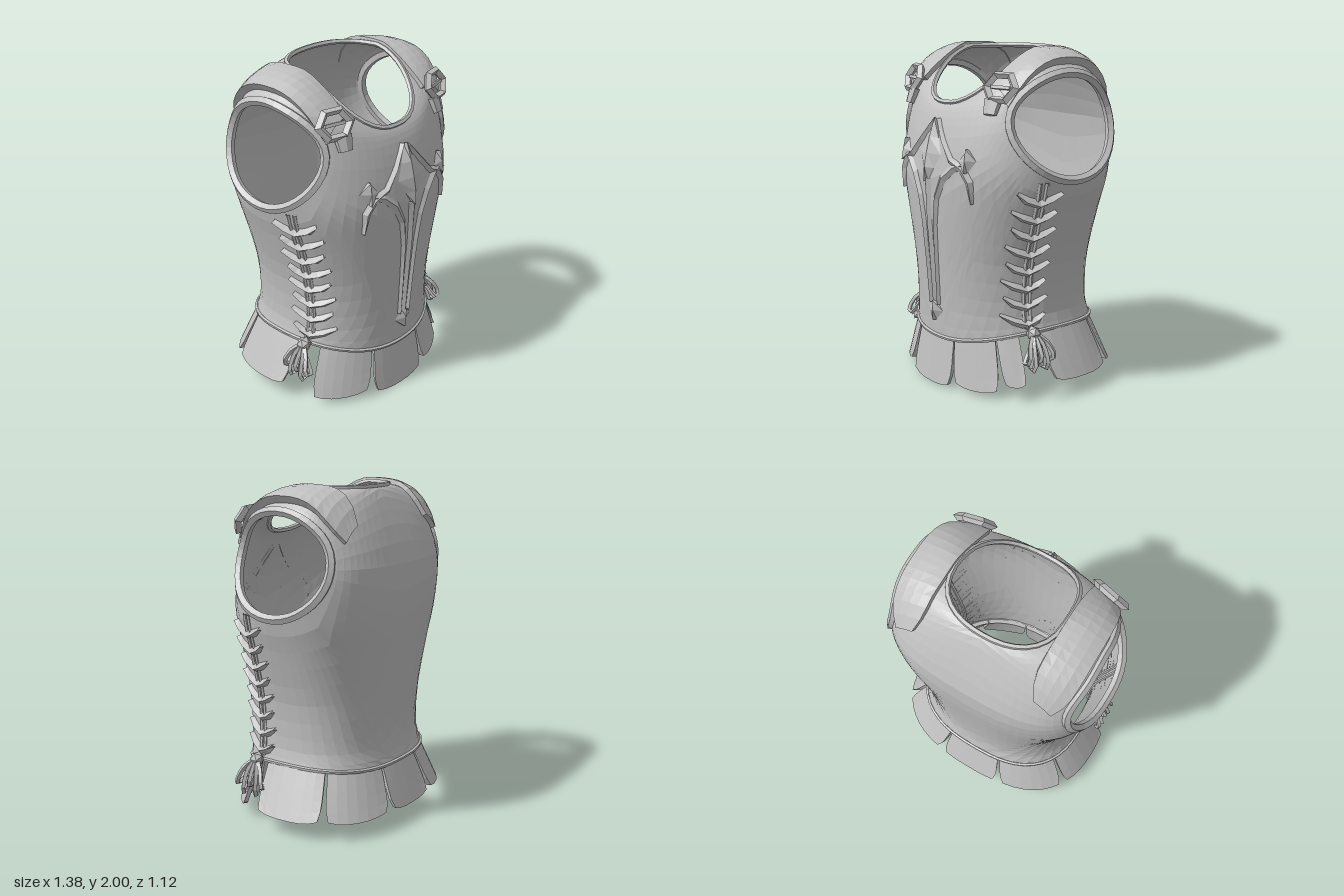
import * as THREE from 'three';
import { mergeGeometries } from 'three/addons/utils/BufferGeometryUtils.js';

const V = (x, y, z) => new THREE.Vector3(x, y, z);
const { lerp, clamp } = THREE.MathUtils;

// Torso cross-sections, waist to neck:
// halfWidth, zFront, zBack, yFront, ySide, yBack, front squareness, back squareness, front dip power
const RINGS = [
  [.54, .498, -.46, .29, .385, .36, 2.2, 2.6, 2], [.515, .502, -.43, .5, .5, .5, 2.2, 2.6, 2],
  [.525, .518, -.44, .75, .75, .75, 2.2, 2.6, 2], [.59, .537, -.465, 1.02, 1.02, 1.02, 2.2, 2.7, 2],
  [.66, .544, -.49, 1.27, 1.27, 1.27, 2.2, 2.8, 2], [.655, .507, -.49, 1.46, 1.52, 1.52, 2.2, 3.1, 2],
  [.615, .472, -.43, 1.57, 1.74, 1.7, 2.2, 3.2, 2], [.565, .445, -.365, 1.63, 1.875, 1.84, 2.2, 2.9, 2],
  [.45, .425, -.31, 1.66, 1.945, 1.94, 2.3, 2.5, 1.6], [.33, .412, -.272, 1.675, 1.97, 1.975, 2.5, 2.3, 1.2]];
const TOP = RINGS.length - 1;

// Point on one superellipse ring; angle 0 is the front, PI the back
function ringPoint([w, zf, zb, yf, ys, yb, nf, nb, dip], a) {
  const s = Math.sin(a), c = Math.cos(a), k = Math.abs(c), e = 2 / (c > 0 ? nf : nb);
  const y = c > 0 ? ys + (yf - ys) * k ** dip : ys + (yb - ys) * k * k;
  return V(Math.sign(s) * w * Math.abs(s) ** e, y, (c > 0 ? zf : zb) * k ** e);
}
// Smooth torso surface through the rings
function torso(a, t) {
  t = clamp(t, 0, TOP);
  const i = Math.min(Math.floor(t), TOP - 1), f = t - i;
  const k = j => RINGS[clamp(j, 0, TOP)];
  const ring = k(i).map((p1, n) => {
    const p0 = k(i - 1)[n], p2 = k(i + 1)[n], p3 = k(i + 2)[n];
    return p1 + .5 * f * (p2 - p0 + f * (2 * p0 - 5 * p1 + 4 * p2 - p3 + f * (3 * (p1 - p2) + p3 - p0)));
  });
  return ringPoint(ring, a);
}
function normalAt(a, t) {
  const e = .03, p = torso(a, t);
  const n = torso(a + e, t).sub(torso(a - e, t)).cross(torso(a, t + e).sub(torso(a, t - e))).normalize();
  return n.dot(V(p.x, p.y - 1.2, p.z)) < 0 ? n.negate() : n;
}
// Finds the surface angle and height that match two given coordinates
const RANGE = { xy: [0, 1.5, 0, TOP], zy: [.2, 2.9, 0, TOP], xz: [0, Math.PI, 4.5, TOP] };
function locate(mode, u, v) {
  const [a0, a1, t0, t1] = RANGE[mode];
  let best = [a0, t0, Infinity];
  const tryAt = (a, t) => {
    a = clamp(a, a0, a1); t = clamp(t, t0, t1);
    const p = torso(a, t), d = (p[mode[0]] - u) ** 2 + (p[mode[1]] - v) ** 2;
    if (d < best[2]) best = [a, t, d];
  };
  for (let i = 0; i <= 20; i++) for (let j = 0; j <= 24; j++) tryAt(lerp(a0, a1, i / 20), lerp(t0, t1, j / 24));
  for (let s = .1; s > .0008; s *= .75) {
    const [a, t] = best;
    for (let i = -1; i <= 1; i++) for (let j = -1; j <= 1; j++) tryAt(a + i * s, t + j * s * 2);
  }
  return best;
}
// Point lying d above the torso
function on(mode, u, v, d = 0) {
  const flip = mode[0] === 'x' && u < 0;
  const [a, t] = locate(mode, flip ? -u : u, v);
  const p = torso(a, t).addScaledVector(normalAt(a, t), d);
  if (flip) p.x *= -1;
  return p;
}

// Grid surface from fn(u, v), both 0..1
function grid(nu, nv, fn) {
  const pos = [], idx = [];
  for (let j = 0; j <= nv; j++) for (let i = 0; i <= nu; i++) pos.push(...fn(i / nu, j / nv).toArray());
  for (let j = 0; j < nv; j++) for (let i = 0; i < nu; i++) {
    const a = j * (nu + 1) + i, b = a + nu + 1;
    idx.push(a, a + 1, b + 1, a, b + 1, b);
  }
  const g = new THREE.BufferGeometry();
  g.setAttribute('position', new THREE.Float32BufferAttribute(pos, 3));
  g.setIndex(idx);
  g.computeVertexNormals();
  return g;
}
// Closed plate: fn(u, v, w), w = 0 inside and 1 outside
const slab = (nu, nv, fn) => mergeGeometries([
  ...[0, 1].map(w => grid(nu, nv, (u, v) => fn(u, v, w))),
  ...[0, 1].map(u => grid(1, nv, (w, v) => fn(u, v, w))),
  ...[0, 1].map(v => grid(nu, 1, (u, w) => fn(u, v, w)))]);
// Ridged strip laid on the torso along [a, b, halfWidth] stations
function ridge(mode, path, h) {
  const n = path.length - 1;
  return grid(2, n, (u, v) => {
    const i = Math.round(v * n), [a, b, w] = path[i];
    const p = path[Math.max(i - 1, 0)], q = path[Math.min(i + 1, n)];
    const dx = q[0] - p[0], dy = q[1] - p[1], l = Math.hypot(dx, dy), k = (u * 2 - 1) * w / l;
    return on(mode, a - dy * k, b + dx * k, u === .5 ? h : 0);
  });
}
const tube = (pts, r, closed = false, n = 40, sides = 5) =>
  new THREE.TubeGeometry(new THREE.CatmullRomCurve3(pts, closed), n, r, sides, closed);

export function createModel() {
  const model = new THREE.Group();
  model.name = 'breastplateArmour';
  const steel = new THREE.MeshStandardMaterial({ color: 0xc0c0c0, flatShading: true, side: THREE.DoubleSide });
  steel.name = 'grey';
  const add = (name, geo, parent = model) => {
    const m = new THREE.Mesh(geo, steel);
    m.name = name;
    parent.add(m);
    return m;
  };
  const both = (name, geo) => [1, -1].forEach(s => { add((s > 0 ? 'left' : 'right') + name, geo).scale.x = s; });

  // Torso halves, spun out from the arm hole to the centre line, neck and waist
  const hole = f => [-.005 + .34 * Math.cos(f), 1.565 + .295 * Math.sin(f)];
  const edge = [], H = Math.PI / 2;
  for (let i = 0; i < 16; i++) edge.push([Math.PI * i / 16, 0]);
  for (let i = 0; i < 14; i++) edge.push([Math.PI, TOP * i / 14]);
  for (let i = 0; i < 16; i++) edge.push([Math.PI * (1 - i / 16), TOP]);
  for (let i = 0; i < 14; i++) edge.push([0, TOP * (1 - i / 14)]);
  const rim = edge.map(([a, t]) => {
    const dt = t - 5.2;
    return locate('zy', ...hole(Math.atan2(dt / (dt > 0 ? TOP - 5.2 : 5.2), (H - a) / H)));
  });
  both('TorsoHalf', grid(edge.length, 10, (u, v) => {
    const i = Math.round(u * edge.length) % edge.length;
    return torso(lerp(rim[i][0], edge[i][0], v), lerp(rim[i][1], edge[i][1], v));
  }));

  // Rolled rims
  const loop = (n, fn) => Array.from({ length: n }, (_, i) => fn(i / n * Math.PI * 2));
  both('ArmholeRim', tube(loop(28, f => on('zy', ...hole(f))), .028, true));
  add('neckRim', tube(loop(32, a => torso(a, TOP)), .016, true));
  add('waistRim', tube(loop(40, a => torso(a, 0)), .012, true, 56));

  // Shoulder straps, thicker towards the arm
  both('ShoulderStrap', slab(4, 14, (u, v, w) => {
    const z = lerp(.32, -.37, v), k = Math.abs(v * 2 - 1) ** 3;
    const inner = .33 + (v > .9 ? (v - .9) * .4 : 0);
    const outer = .535 - k * (v < .5 ? .06 : .03) - (v > .9 ? (v - .9) * .3 : 0);
    return on('xz', lerp(inner, outer, u), z, w ? lerp(.028, .05 - .02 * k, u) : -.005);
  }));

  // Strap buckles
  for (const s of [1, -1]) {
    const buckle = new THREE.Group();
    buckle.name = s > 0 ? 'leftBuckle' : 'rightBuckle';
    const p = on('xy', .42, 1.765, .04), n = on('xy', .42, 1.765, 1).sub(p);
    buckle.position.set(s * p.x, p.y, p.z);
    buckle.lookAt(s * (p.x + n.x * .6), p.y + n.y * .6, p.z + n.z);
    add('buckleFrame', new THREE.TorusGeometry(.085, .024, 4, 6), buckle).scale.set(1.2, .95, 1);
    add('bucklePin', new THREE.BoxGeometry(.13, .018, .02), buckle);
    const tongue = add('buckleTongue', new THREE.CylinderGeometry(.06, .045, .09, 6), buckle);
    tongue.position.set(-s * .04, -.11, -.01);
    tongue.scale.z = .5;
    model.add(buckle);
  }

  // Sword emblem on the chest
  add('emblemDiamond', ridge('xy', [[0, 1.58, .004], [0, 1.48, .055], [0, 1.39, .1], [0, 1.31, .055], [0, 1.23, .004]], .028));
  add('emblemBlade', ridge('xy', [[0, 1.25, .03], [0, 1, .024], [0, .75, .02], [0, .48, .016]], .018));
  add('emblemTip', ridge('xy', [[0, .51, .004], [0, .45, .072], [0, .385, .004]], .025));
  both('EmblemRib', ridge('xy', [[.038, .49, .012], [.045, .75, .014], [.055, .98, .018], [.08, 1.14, .022],
    [.14, 1.26, .026], [.22, 1.33, .024], [.28, 1.35, .02]], .018));
  both('EmblemGuard', ridge('xy', [[.015, 1.58, .015], [.11, 1.46, .018], [.19, 1.37, .02], [.28, 1.33, .026],
    [.33, 1.26, .024], [.34, 1.14, .008]], .022));
  both('EmblemStud', ridge('xy', [[.3, 1.44, .004], [.305, 1.375, .055], [.31, 1.31, .004]], .03));

  // Side seams and crossed laces
  for (const z of [.178, .215]) {
    both('Seam', tube(Array.from({ length: 9 }, (_, i) => on('zy', z, lerp(.4, 1.27, i / 8))), .012, false, 16));
  }
  for (let i = 0; i < 8; i++) {
    const y = 1.16 - i * .104, r = i % 2 ? .01 : -.005;
    both('Lace', ridge('zy', [[.325 + r, y + .055, .008], [.27, y + .012, .022], [.2, y - .015, .026],
      [.14, y + .01, .022], [.085 + r, y + .045, .008]], .03));
  }

  // Knotted lace ends
  const knot = new THREE.IcosahedronGeometry(.045, 0);
  knot.translate(.55, .385, .2);
  both('LaceKnot', knot);
  for (let i = 0; i < 5; i++) {
    const d = (i - 2) * .045, drop = i % 2 ? .2 : .25;
    both('LaceEnd', tube([V(.55, .39, .2), V(.6, .33, .2 + d * .7), V(.63, drop, .2 + d),
      V(.6, drop - .02, .21 + d), V(.57, .31, .2 + d * .4)], .015, false, 10, 4));
  }

  // Skirt plates: start angle, end angle, bottom height
  const upper = [.53, .488, -.445, .31, .4, .375, 2.2, 2.6, 2];
  const plate = (a0, a1, yb) => {
    const lower = [.672, .535, -.55, yb, yb, yb, 2.1, 2.6, 2];
    return slab(6, 5, (u, v, w) => {
      const inset = .015 * v + (v > .75 ? (v - .75) * .26 * Math.min(a1 - a0, .5) : 0);
      const a = lerp(a0 + inset, a1 - inset, u);
      const p = ringPoint(upper, a).lerp(ringPoint(lower, a), v);
      p.y += .02 * Math.abs(2 * u - 1) ** 3 * v;
      const k = 1 - (w ? 0 : .028 / Math.hypot(p.x, p.z));
      return V(p.x * k, p.y, p.z * k);
    });
  };
  add('frontSkirtPlate', plate(-.37, .25, 0));
  add('leftFrontFlankPlate', plate(.26, .79, .03));
  add('leftFrontCornerPlate', plate(.8, 1.07, .08));
  add('rightFrontFlankPlate', plate(-1.05, -.4, .035));
  add('backSkirtPlate', plate(Math.PI - .23, Math.PI + .23, .1));
  both('SideSkirtPlate', plate(1.33, 2.06, .1));
  both('BackFlankPlate', plate(2.09, Math.PI - .25, .1));
  return model;
}
